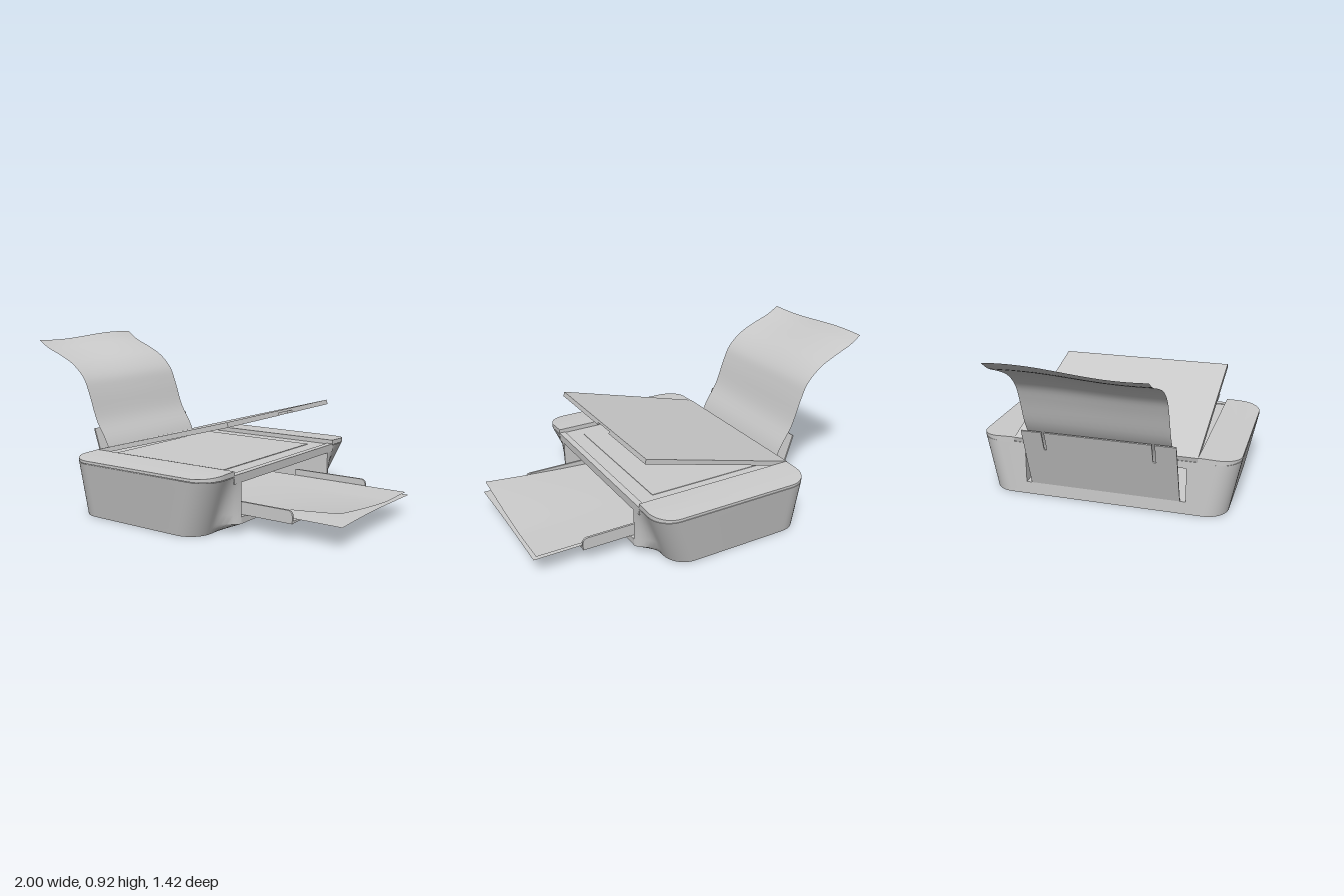
import * as THREE from 'three';
import { toCreasedNormals } from 'three/addons/utils/BufferGeometryUtils.js';

const grey = new THREE.MeshStandardMaterial({ color: 0xcccccc });
const thin = new THREE.MeshStandardMaterial({ color: 0xcccccc, side: THREE.DoubleSide });

const BACK = -0.43, FRONT = 0.48, R = 0.12;

function add(parent, name, geometry, material = grey) {
  const mesh = new THREE.Mesh(geometry, material);
  mesh.name = name;
  parent.add(mesh);
  return mesh;
}

// Box given by its limits on each axis
function slab(x0, x1, y0, y1, z0, z1) {
  return new THREE.BoxGeometry(x1 - x0, y1 - y0, z1 - z0)
    .translate((x0 + x1) / 2, (y0 + y1) / 2, (z0 + z1) / 2);
}

function extrude(points, depth) {
  const shape = new THREE.Shape(points.map(([x, y]) => new THREE.Vector2(x, y)));
  return new THREE.ExtrudeGeometry(shape, { depth, bevelEnabled: false });
}

// Solid skin through closed rings (counter-clockwise from above), capped at both ends
function loft(rings, crease) {
  const n = rings[0].length, pos = [];
  const tri = (...p) => p.forEach((v) => pos.push(...v));
  const middle = (ring) => [0, 1, 2].map((k) => ring.reduce((s, p) => s + p[k], 0) / n);
  for (let i = 0; i + 1 < rings.length; i++) {
    for (let j = 0; j < n; j++) {
      const k = (j + 1) % n, lo = rings[i], hi = rings[i + 1];
      tri(lo[j], lo[k], hi[k]);
      tri(lo[j], hi[k], hi[j]);
    }
  }
  const first = rings[0], last = rings[rings.length - 1];
  for (let j = 0; j < n; j++) {
    const k = (j + 1) % n;
    tri(middle(first), first[k], first[j]);
    tri(middle(last), last[j], last[k]);
  }
  const g = new THREE.BufferGeometry();
  g.setAttribute('position', new THREE.Float32BufferAttribute(pos, 3));
  return toCreasedNormals(g, crease);
}

// Outline of one end of the housing: two rounded corners, front edge easing to the middle section
function endRing(yAt, zIn, zOut, xOut, xMid) {
  const pts = [[BACK, zIn]];
  const steps = 10;
  for (let i = 0; i <= steps; i++) {
    const a = (i / steps) * Math.PI / 2;
    pts.push([BACK + R - R * Math.cos(a), zOut - R + R * Math.sin(a)]);
  }
  for (let i = 0; i <= steps; i++) {
    const a = (i / steps) * Math.PI / 2;
    pts.push([xOut - R + R * Math.sin(a), zOut - R + R * Math.cos(a)]);
  }
  for (let i = 1; i <= 6; i++) {
    const t = i / 6;
    pts.push([xOut + (xMid - xOut) * t * t * (3 - 2 * t), zOut - R + (zIn - zOut + R) * t]);
  }
  return pts.map(([x, z]) => [x, yAt(z), z]);
}

const mirrorRing = (ring) => ring.map(([x, y, z]) => [x, y, -z]).reverse();

// Wavy sheet of paper: place(u, z) returns [x, y] for u from 0 to 1
function sheet(place, halfWidth) {
  const g = new THREE.PlaneGeometry(1, 1, 40, 24);
  const p = g.attributes.position;
  for (let i = 0; i < p.count; i++) {
    const z = -p.getY(i) * 2 * halfWidth;
    const [x, y] = place(p.getX(i) + 0.5, z);
    p.setXYZ(i, x, y, z);
  }
  g.computeVertexNormals();
  return g;
}

export function createModel() {
  const model = new THREE.Group();
  model.name = 'printer';

  // Housing ends, flaring outward toward the top, and the raised rims on them
  const levels = [0, 0.025, 0.05, 0.1, 0.15, 0.2, 0.25, 0.295];
  const ends = levels.map((y) => endRing(
    () => y, 0.44, 0.65 + 0.06 * y / 0.295,
    0.36 + 0.12 * y / 0.295, 0.36 + 0.12 * Math.min(1, y / 0.05)));
  const rimTop = (z) => 0.325 - 0.013 * Math.pow((z - 0.5) / 0.21, 2);
  const rims = [() => 0.298, rimTop].map((f) => endRing(f, 0.5, 0.71, FRONT, FRONT));
  const seam = [0.29, 0.3].map((y) => endRing(() => y, 0.5, 0.705, FRONT - 0.005, FRONT - 0.005));
  for (const [side, map] of [['left', (r) => r], ['right', mirrorRing]]) {
    add(model, side + 'HousingEnd', loft(ends.map(map), 0.6));
    add(model, side + 'RimSeam', loft(seam.map(map), 0.5));
    add(model, side + 'TopRim', loft(rims.map(map), 0.5));
  }

  // Floor and deck, leaving a paper passage open from back to front
  const floor = [[BACK, 0], [0.36, 0], [FRONT, 0.05], [FRONT, 0.085], [BACK, 0.07]];
  add(model, 'housingFloor', extrude(floor, 0.88).translate(0, 0, -0.44));
  add(model, 'scannerDeck', slab(BACK, FRONT, 0.26, 0.3, -0.5, 0.5));
  add(model, 'scannerGlass', slab(-0.36, 0.36, 0.3, 0.303, -0.42, 0.42));
  add(model, 'frontStrip', slab(0.445, FRONT, 0.3, 0.304, -0.5, 0.5));

  // Open scanner lid with a finger notch under its front edge
  const lid = new THREE.Group();
  lid.name = 'scannerLid';
  lid.position.set(BACK, 0.312, 0);
  lid.rotation.z = 0.264;
  add(lid, 'lidPanel', slab(0, 0.9, 0, 0.013, -0.5, 0.5));
  const under = [[0, -0.5], [0.9, -0.5], [0.9, -0.035], [0.87, -0.035],
    [0.87, 0.1], [0.9, 0.1], [0.9, 0.5], [0, 0.5]];
  add(lid, 'lidUnderside', extrude(under, 0.013).rotateX(-Math.PI / 2).translate(0, -0.013, 0));
  model.add(lid);

  // Rear paper support, leaning back, with two guide slots
  const support = [[-0.41, 0], [0.41, 0], [0.41, 0.365], [0.3, 0.365], [0.3, 0.25], [0.285, 0.25],
    [0.285, 0.365], [-0.285, 0.365], [-0.285, 0.25], [-0.3, 0.25], [-0.3, 0.365], [-0.41, 0.365]];
  const rear = add(model, 'rearPaperSupport', extrude(support, 0.008).rotateY(Math.PI / 2));
  rear.position.set(BACK, 0.07, 0);
  rear.rotation.z = 0.317;

  // Blank sheet curling over the rear support
  const path = new THREE.CatmullRomCurve3([
    [-0.425, 0.09], [-0.44, 0.25], [-0.475, 0.345], [-0.545, 0.46], [-0.6, 0.61], [-0.64, 0.695],
    [-0.72, 0.77], [-0.82, 0.82], [-0.93, 0.865], [-0.995, 0.908],
  ].map(([x, y]) => new THREE.Vector3(x, y, 0)));
  add(model, 'feedPaper', sheet((u, z) => {
    const p = path.getPoint(u);
    const wave = Math.sin(z * 6) * u * u;
    return [p.x - 0.004 * wave, p.y - 0.015 * wave];
  }, 0.385), thin);

  // Output tray with raised side rails
  add(model, 'outputTray', slab(0.1, 0.745, 0.087, 0.098, -0.395, 0.395));
  const rail = new THREE.Shape();
  rail.moveTo(0.3, 0.085);
  rail.lineTo(0.745, 0.085);
  rail.lineTo(0.745, 0.12);
  rail.quadraticCurveTo(0.745, 0.15, 0.715, 0.15);
  rail.lineTo(0.3, 0.15);
  for (const s of [-1, 1]) {
    const g = new THREE.ExtrudeGeometry(rail, { depth: 0.012, bevelEnabled: false });
    add(model, s > 0 ? 'leftTrayRail' : 'rightTrayRail', g.translate(0, 0, s * 0.394 - 0.006));
  }

  // Two printed sheets, the upper one lifting at its left front corner
  add(model, 'lowerPrintedSheet', sheet((u, z) =>
    [0.1 + 0.9 * u, 0.108 + 0.006 * u * Math.sin(z * 5 + 1)], 0.383), thin);
  add(model, 'upperPrintedSheet', sheet((u, z) => {
    const side = Math.max(0, (z + 0.15) / 0.53);
    return [0.1 + 0.885 * u, 0.117 + 0.054 * Math.pow(u, 1.6) * Math.pow(side, 1.3)];
  }, 0.38), thin);

  return model;
}
